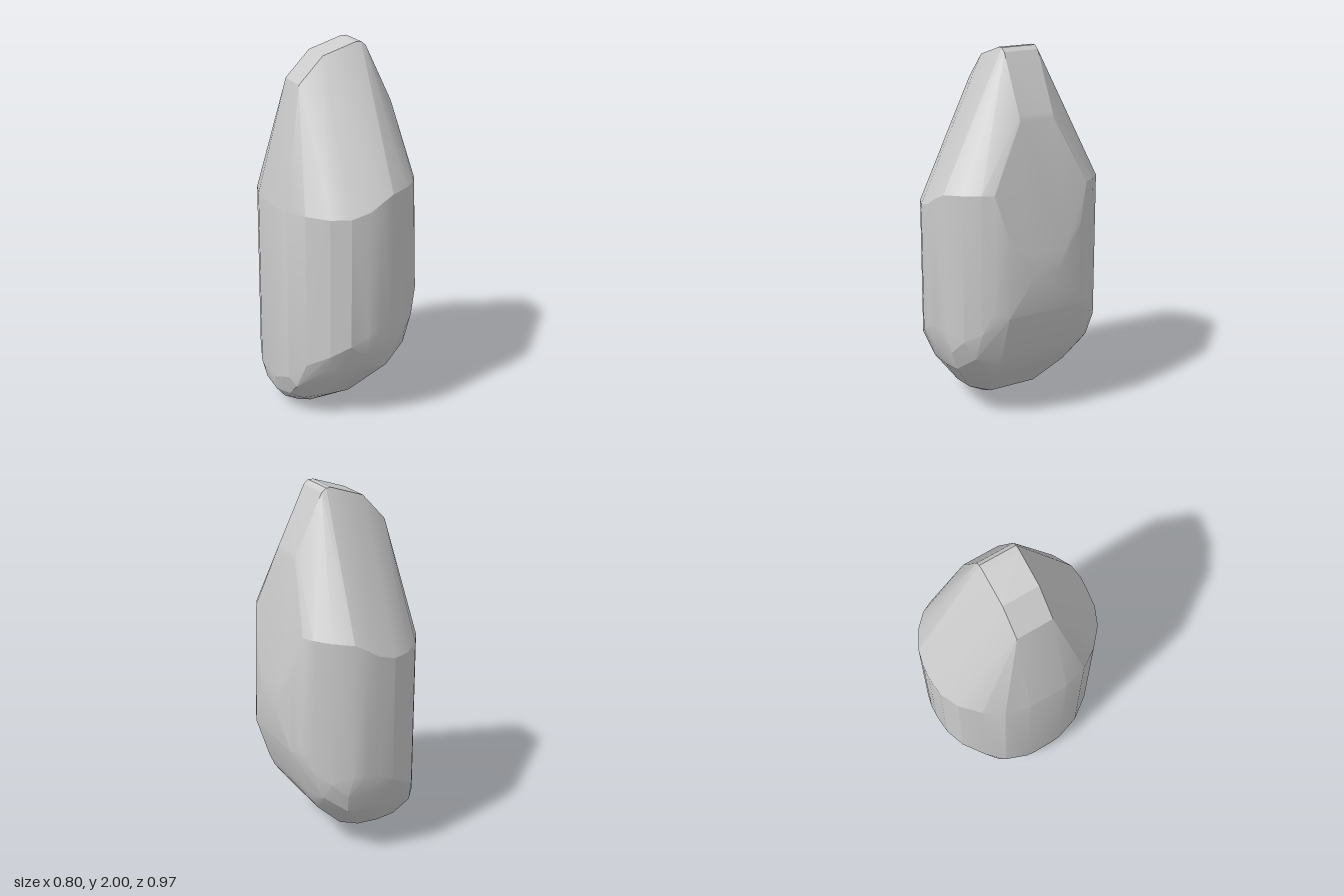
import * as THREE from 'three';
import { ConvexGeometry } from 'three/addons/geometries/ConvexGeometry.js';
import { toCreasedNormals } from 'three/addons/utils/BufferGeometryUtils.js';

export function createModel() {
  const points = [];
  // Every corner is mirrored front to back.
  const add = (x, y, z) => {
    points.push(new THREE.Vector3(x, y, z), new THREE.Vector3(x, y, -z));
  };

  // Narrow flat crest running over the top: [x, y]
  const crest = [[-0.24, 1.8], [-0.11, 1.94], [0.07, 2], [0.1, 2], [0.125, 1.98], [0.27, 1.68], [0.28, 1.65]];
  for (const [x, y] of crest) add(x, y, 0.1);

  // Upright walls: [x, z, shoulder height, lower edge height]
  const walls = [
    [-0.4, 0.11, 1.18, 0.2], [-0.365, 0.24, 1.18, 0.25], [-0.3, 0.34, 1.18, 0.35],
    [-0.2, 0.43, 1.175, 0.42], [-0.1, 0.475, 1.18, 0.48], [0, 0.485, 1.21, 0.53],
    [0.06, 0.482, 1.25, 0.54], [0.13, 0.465, 1.285, 0.54], [0.23, 0.41, 1.295, 0.5],
    [0.3, 0.34, 1.3, 0.55],
  ];
  for (const [x, z, top, low] of walls) {
    add(x, top, z);
    add(x, low, z);
  }

  // Bulging side and rounded underside: [x, y, z]
  const belly = [
    [0.33, 1.3, 0.28], [0.365, 1.08, 0.22], [0.385, 0.98, 0.12], [0.398, 0.86, 0.07],
    [0.375, 0.64, 0.22], [0.345, 0.68, 0.29], [0.3, 0.41, 0.22], [0.27, 0.34, 0.22],
    [0.22, 0.27, 0.22], [0.25, 0.4, 0.35], [0.13, 0.31, 0.4], [0.15, 0.42, 0.44],
    [0.02, 0.3, 0.405], [-0.12, 0.3, 0.4], [0, 0.4, 0.45], [-0.2, 0.33, 0.39],
    [0.04, 0.085, 0.14], [-0.02, 0.11, 0.24], [-0.14, 0.11, 0.25], [-0.08, 0.03, 0.11],
    [-0.24, 0, 0.05], [-0.2, 0.025, 0.12], [-0.27, 0.09, 0.2], [-0.33, 0.2, 0.27],
    [-0.33, 0.05, 0.07], [-0.38, 0.11, 0.08], [-0.34, 0.12, 0.18], [-0.4, 0.18, 0.06],
  ];
  for (const p of belly) add(...p);

  const geometry = toCreasedNormals(new ConvexGeometry(points), 0.3);
  const stone = new THREE.Mesh(geometry, new THREE.MeshStandardMaterial({ color: 0xcccccc }));
  stone.name = 'facetedStone';

  const model = new THREE.Group();
  model.name = 'stone';
  model.add(stone);
  return model;
}
